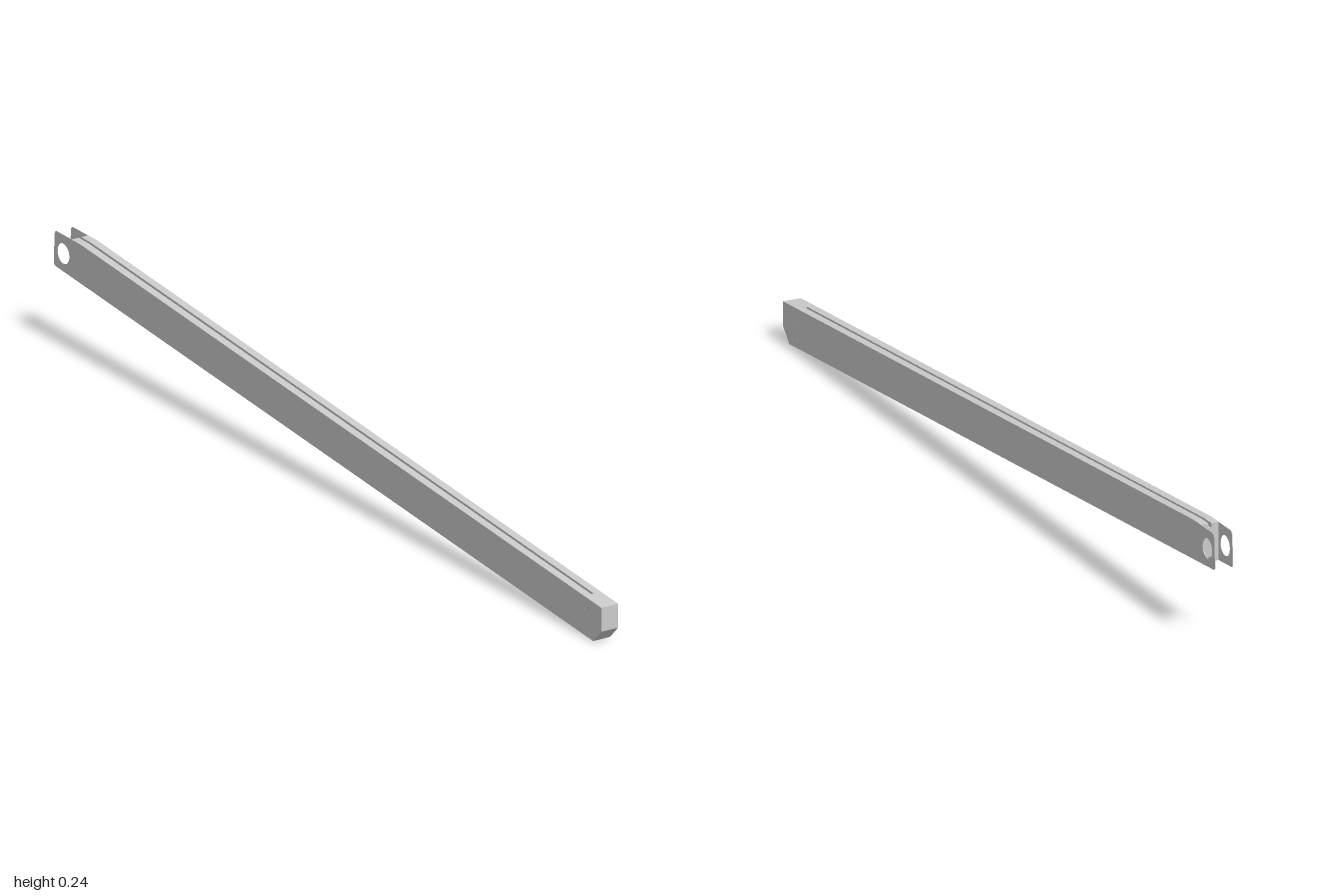
import * as THREE from 'three';

const SLOPE = 0.082, HALF = 0.0205, SHEET = 0.0012, SLOT = 0.003, DEPTH = 0.01;
const top = z => Math.min(0.167 - SLOPE * z, 0.241);
const bottom = z => 0.082 - SLOPE * z;

export function createModel() {
  const group = new THREE.Group();
  group.name = 'slopingRail';
  const material = new THREE.MeshStandardMaterial({ color: 0xcccccc });

  // Extrudes a (z, y) outline across x, between x0 and x1
  function slab(name, shape, x0, x1) {
    const g = new THREE.ExtrudeGeometry(shape, { depth: x1 - x0, bevelEnabled: false, curveSegments: 16 });
    g.rotateY(-Math.PI / 2).translate(x1, 0, 0);
    const mesh = new THREE.Mesh(g, material);
    mesh.name = name;
    group.add(mesh);
  }
  const outline = pts => new THREE.Shape(pts.map(p => new THREE.Vector2(p[0], p[1])));

  // Side plates: whole length, with a round pivot hole at the raised end
  const plate = new THREE.Shape();
  plate.moveTo(0.97, bottom(0.97));
  plate.lineTo(1, 0.033);
  plate.lineTo(1, top(1));
  plate.lineTo(-0.9, top(-0.9));
  plate.lineTo(-0.988, 0.241);
  plate.quadraticCurveTo(-0.996, 0.241, -0.997, 0.232);
  plate.lineTo(-1, bottom(-1) + 0.003);
  plate.lineTo(-0.994, bottom(-0.994));
  plate.closePath();
  const hole = new THREE.Path();
  hole.absarc(-0.965, 0.2, 0.022, 0, Math.PI * 2, true);
  plate.holes.push(hole);
  slab('leftSidePlate', plate, HALF - SHEET, HALF);
  slab('rightSidePlate', plate, -HALF, -HALF + SHEET);

  // Core: two full-height halves and a lower middle strip, leaving a slot above and below
  const back = -0.935, front = 0.937;
  const core = d => outline([
    [front, bottom(front) + d], [front, top(front) - d],
    [-0.9, top(-0.9) - d], [back, top(back) - d], [back, bottom(back) + d],
  ]);
  slab('leftCore', core(0), SLOT, HALF - SHEET);
  slab('rightCore', core(0), -HALF + SHEET, -SLOT);
  slab('slotFloor', core(DEPTH), -SLOT, SLOT);

  // Front plug with an angled lower nose
  slab('frontPlug', outline([
    [front, bottom(front)], [0.97, bottom(0.97)], [1, 0.033], [1, top(1)], [front, top(front)],
  ]), -HALF + SHEET, HALF - SHEET);

  // Small fixing pins through the front plug
  for (const y of [0.022, 0.06]) {
    const pin = new THREE.Mesh(new THREE.CylinderGeometry(0.003, 0.003, HALF * 2 + 0.0006, 12), material);
    pin.name = 'fixingPin';
    pin.rotation.z = Math.PI / 2;
    pin.position.set(0, y, 0.936);
    group.add(pin);
  }

  group.position.y = -bottom(0.97);
  const root = new THREE.Group();
  root.name = 'rail';
  root.add(group);
  return root;
}
